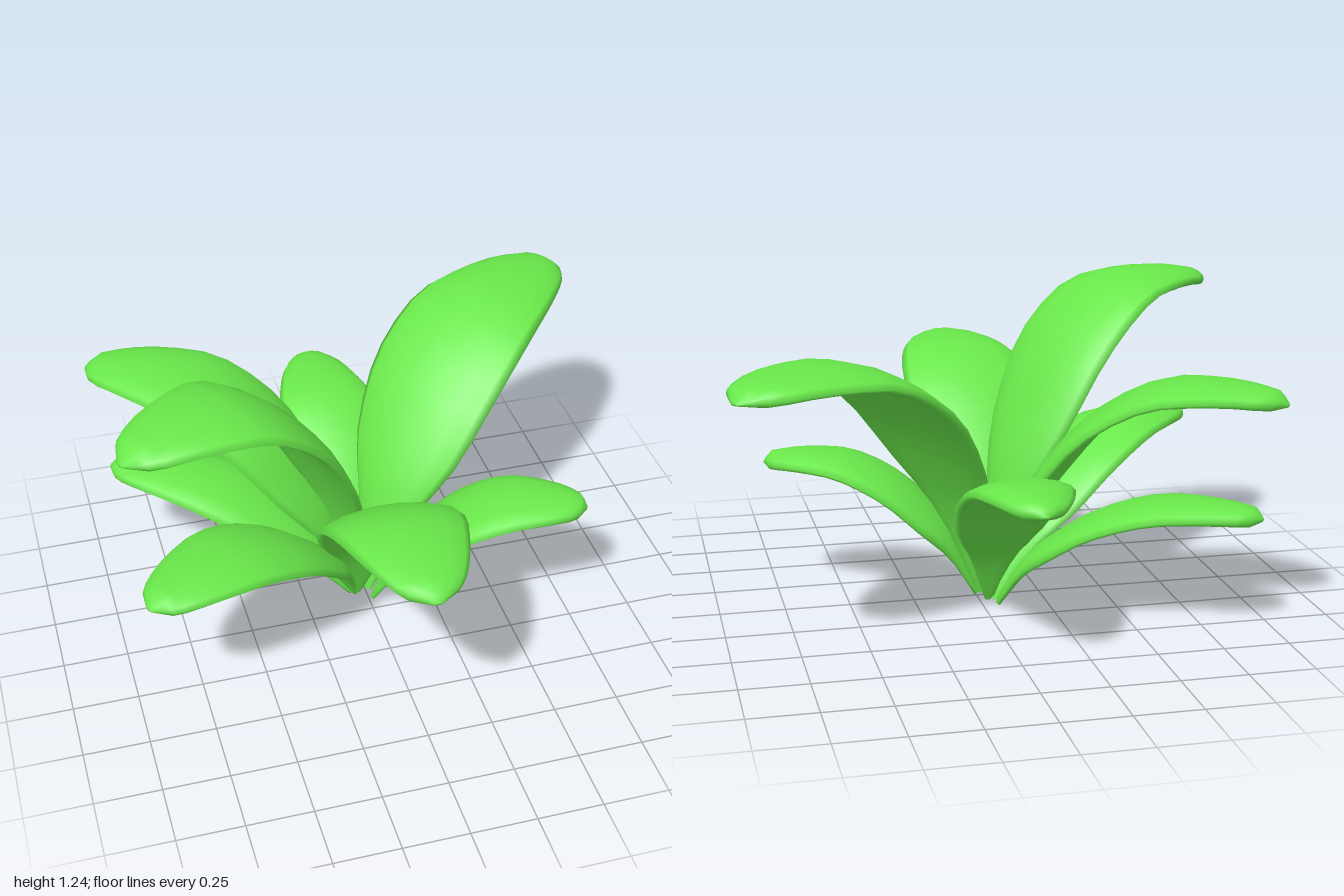
import * as THREE from 'three';

const ROWS = 18, SIDES = 14;

// One leaf along its length: (reach, height, half width), all as fractions
const leafCurve = new THREE.CatmullRomCurve3([
  [0, 0, 0.06], [0.1, 0.33, 0.44], [0.23, 0.58, 0.84], [0.4, 0.82, 1],
  [0.6, 0.97, 0.97], [0.8, 1, 0.75], [0.94, 0.985, 0.46], [1, 0.965, 0.06],
].map((p) => new THREE.Vector3(...p)));

// Thick, slightly arched blade swept from base to tip
function leafGeometry([bx, by, bz], [tx, tz], height, halfWidth) {
  const reach = Math.hypot(tx - bx, tz - bz);
  const dir = new THREE.Vector3(tx - bx, 0, tz - bz).divideScalar(reach);
  const up = new THREE.Vector3(0, 1, 0);
  const side = up.clone().cross(dir);
  const steep = 0.5 * Math.max(0, height - 0.65); // taller leaves rise more steeply

  const along = (t) => {
    const p = leafCurve.getPoint(t);
    const r = p.x * (1 - steep * (1 - p.x));
    return { r: r * reach, y: by + (height - by) * p.y, w: Math.max(p.z, 0.02) * halfWidth };
  };

  const positions = [], index = [];
  for (let i = 0; i <= ROWS; i++) {
    const t = i / ROWS;
    const c = along(t), a = along(Math.max(0, t - 0.02)), b = along(Math.min(1, t + 0.02));
    const len = Math.hypot(b.r - a.r, b.y - a.y);
    const normal = up.clone().multiplyScalar((b.r - a.r) / len).addScaledVector(dir, -(b.y - a.y) / len);
    const thick = 0.033 * Math.min(1, 0.3 + 3 * t) * Math.min(1, 0.15 + 8 * (1 - t));
    const arch = 0.15 - 0.07 * t;
    for (let j = 0; j < SIDES; j++) {
      const angle = (j / SIDES) * Math.PI * 2;
      const u = Math.cos(angle), v = Math.sin(angle);
      const lift = thick * Math.sign(v) * Math.abs(v) ** 0.8 + arch * c.w * (0.4 - u * u);
      const p = new THREE.Vector3(bx, c.y, bz)
        .addScaledVector(dir, c.r)
        .addScaledVector(side, u * c.w)
        .addScaledVector(normal, lift);
      positions.push(p.x, p.y, p.z);
    }
  }
  const at = (i, j) => i * SIDES + (j % SIDES);
  for (let i = 0; i < ROWS; i++) {
    for (let j = 0; j < SIDES; j++) {
      index.push(at(i, j), at(i, j + 1), at(i + 1, j));
      index.push(at(i, j + 1), at(i + 1, j + 1), at(i + 1, j));
    }
  }
  // End caps
  for (let j = 1; j < SIDES - 1; j++) {
    index.push(at(0, 0), at(0, j + 1), at(0, j));
    index.push(at(ROWS, 0), at(ROWS, j), at(ROWS, j + 1));
  }
  const geometry = new THREE.BufferGeometry();
  geometry.setAttribute('position', new THREE.Float32BufferAttribute(positions, 3));
  geometry.setIndex(index);
  geometry.computeVertexNormals();
  return geometry;
}

export function createModel() {
  const plant = new THREE.Group();
  plant.name = 'leafyPlant';
  const green = new THREE.MeshStandardMaterial({ color: 0x69e74a });

  // name, base (x, y, z), tip (x, z), peak height, half width
  const leaves = [
    ['upperRightFrontLeaf', [-0.02, 0.05, -0.11], [-0.99, 0.35], 1.205, 0.265],
    ['lowerRightFrontLeaf', [-0.05, 0.02, -0.1], [-0.95, 0.45], 0.615, 0.22],
    ['upperRightBackLeaf', [-0.04, 0.04, -0.1], [-0.97, -0.72], 0.92, 0.245],
    ['lowerRightBackLeaf', [-0.06, 0.01, -0.12], [-0.92, -0.65], 0.465, 0.19],
    ['leftBackLeaf', [0, 0.05, -0.08], [0.98, -0.8], 1.05, 0.29],
    ['leftFrontLeaf', [0.01, 0.03, -0.04], [0.79, 0.24], 0.55, 0.19],
    ['frontLeaf', [-0.05, 0.05, -0.07], [-0.05, 0.97], 0.87, 0.25],
    ['backLeaf', [-0.02, 0.03, -0.11], [-0.02, -0.97], 0.635, 0.2],
  ];
  for (const [name, base, tip, height, halfWidth] of leaves) {
    const leaf = new THREE.Mesh(leafGeometry(base, tip, height, halfWidth), green);
    leaf.name = name;
    plant.add(leaf);
  }
  return plant;
}
